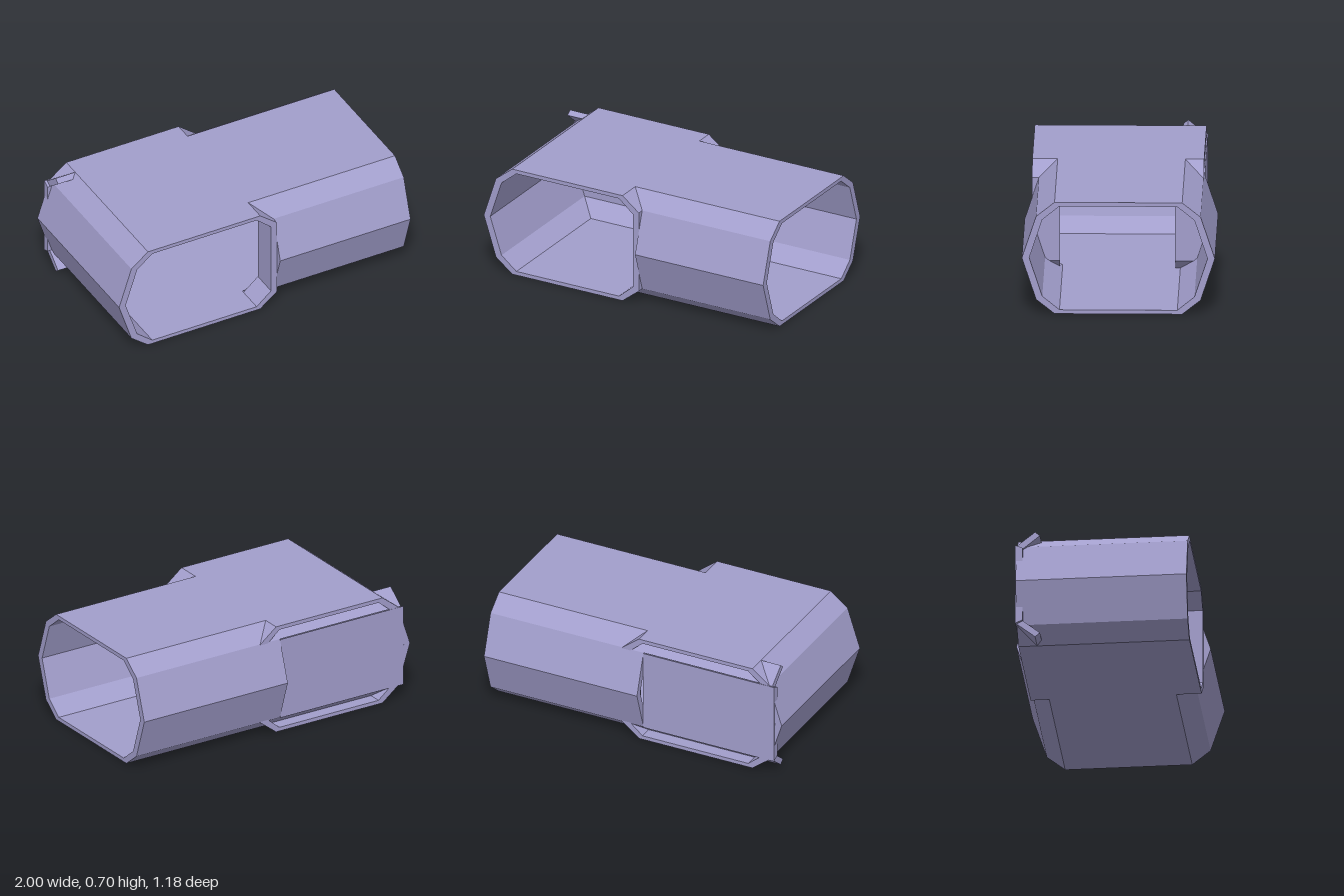
import * as THREE from 'three';

const H = 0.705; // overall height; everything mirrors about H / 2

// Solid bar from a four-corner section [side, y], run along 'x' or 'z'.
// from / to hold one number, or one per corner for mitred ends.
function bar(axis, section, from, to) {
  const ring = (ends) => section.map(([s, y], i) => {
    const a = Array.isArray(ends) ? ends[i] : ends;
    return axis === 'x' ? new THREE.Vector3(a, y, s) : new THREE.Vector3(s, y, a);
  });
  const A = ring(from), B = ring(to), quads = [[A[3], A[2], A[1], A[0]], B];
  for (let i = 0; i < 4; i++) {
    const j = (i + 1) % 4;
    quads.push([A[i], A[j], B[j], B[i]]);
  }
  const tris = quads.flatMap(([a, b, c, d]) => [[a, b, c], [a, c, d]]);
  // Turn the faces outwards whichever way the section was listed
  const volume = tris.reduce((v, [a, b, c]) => v + a.dot(b.clone().cross(c)), 0);
  const points = tris.flatMap(([a, b, c]) => (volume < 0 ? [a, c, b] : [a, b, c]));
  const geometry = new THREE.BufferGeometry().setFromPoints(points);
  geometry.computeVertexNormals();
  return geometry;
}

export function createModel() {
  const group = new THREE.Group();
  const material = new THREE.MeshStandardMaterial({ color: 0xa29ecc, flatShading: true });

  const add = (name, axis, section, from, to) => {
    const mesh = new THREE.Mesh(bar(axis, section, from, to), material);
    mesh.name = name;
    group.add(mesh);
  };
  // One bar in the upper half and its reflection in the lower half
  const addPair = (upper, lower, axis, section, from, to) => {
    add(upper, axis, section, from, to);
    add(lower, axis, section.map(([s, y]) => [s, H - y]), from, to);
  };

  // Sections are listed outer, outer, inner, inner
  const mid = H / 2;
  const chamferX = (k) => [[k * 0.39, H], [k * 0.503, 0.615], [k * 0.465, 0.595], [k * 0.36, 0.68]];
  const bulgeX = (k) => [[k * 0.503, 0.615], [k * 0.59, mid], [k * 0.545, mid], [k * 0.465, 0.595]];

  // Side passage, running along x and open at its +x end
  addPair('sideRoof', 'sideFloor', 'x',
    [[-0.39, H], [0.39, H], [0.36, 0.68], [-0.36, 0.68]], [-0.02, -0.02, -0.045, -0.045], 1);
  addPair('sideFrontUpperChamfer', 'sideFrontLowerChamfer', 'x', chamferX(1), [-0.02, 0.095, 0.055, -0.045], 1);
  addPair('sideFrontUpperWall', 'sideFrontLowerWall', 'x', bulgeX(1), 0.095, 1);
  addPair('backUpperChamfer', 'backLowerChamfer', 'x', chamferX(-1), -0.935, 1);
  addPair('sideBackUpperWall', 'sideBackLowerWall', 'x', bulgeX(-1), -0.05, 1);

  // Flat wall closing the back of the corner
  add('backWall', 'x', [[-0.511, 0.615], [-0.511, 0.09], [-0.465, 0.11], [-0.465, 0.595]], -0.95, -0.05);

  // Front passage, running along z and open at the front
  const back = -0.505, front = 0.545;
  addPair('frontRoof', 'frontFloor', 'z',
    [[-0.8, H], [-0.02, H], [-0.045, 0.68], [-0.77, 0.68]], back, front);
  addPair('leftmostUpperChamfer', 'leftmostLowerChamfer', 'z',
    [[-0.8, H], [-0.915, 0.615], [-0.875, 0.595], [-0.77, 0.68]], back, front);
  addPair('outerUpperWall', 'outerLowerWall', 'z',
    [[-0.915, 0.615], [-1, mid], [-0.955, mid], [-0.875, 0.595]], back, front);

  // Short jambs either side of the opening into the side passage
  for (const [name, z0, z1] of [['frontJamb', 0.375, front], ['backJamb', back, -0.33]]) {
    add(name, 'z', [[0.095, 0.615], [0.095, 0.09], [0.055, 0.11], [0.055, 0.595]], z0, z1);
    addPair(name + 'UpperChamfer', name + 'LowerChamfer', 'z',
      [[-0.02, H], [0.095, 0.615], [0.055, 0.595], [-0.045, 0.68]], z0, z1);
  }
  return group;
}
